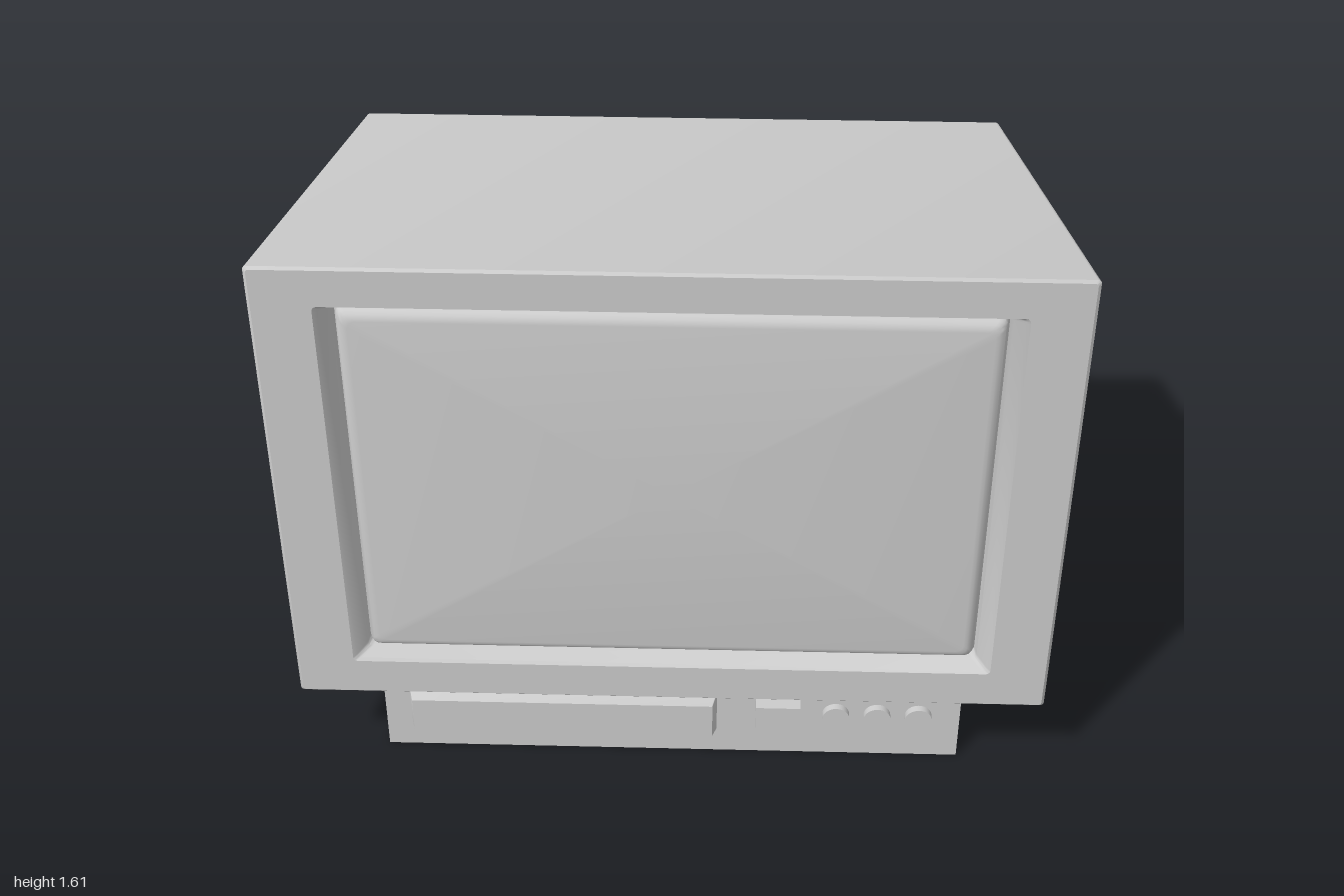
import * as THREE from 'three';
import { toCreasedNormals } from 'three/addons/utils/BufferGeometryUtils.js';

const material = new THREE.MeshStandardMaterial({ color: 0xcccccc });

// Rounded rectangle, counter-clockwise seen from +z
function ring([hw, y0, y1, z, r]) {
  const steps = 4, points = [];
  const corners = [[hw - r, y0 + r], [hw - r, y1 - r], [-hw + r, y1 - r], [-hw + r, y0 + r]];
  corners.forEach(([cx, cy], k) => {
    for (let s = 0; s <= steps; s++) {
      const a = (k - 1 + s / steps) * Math.PI / 2;
      points.push([cx + r * Math.cos(a), cy + r * Math.sin(a), z]);
    }
  });
  return points;
}

// Skin a series of rings [halfWidth, bottom, top, z, cornerRadius]
function loft(sections, capStart, capEnd) {
  const rings = sections.map(ring), n = rings[0].length, pos = [];
  const tri = (a, b, c) => pos.push(...a, ...b, ...c);
  const centre = ([, y0, y1, z]) => [0, (y0 + y1) / 2, z];
  const last = rings.length - 1;
  for (let j = 0; j < n; j++) {
    const k = (j + 1) % n;
    for (let i = 0; i < last; i++) {
      const a = rings[i], b = rings[i + 1];
      tri(a[j], a[k], b[k]);
      tri(a[j], b[k], b[j]);
    }
    if (capStart) tri(centre(sections[0]), rings[0][k], rings[0][j]);
    if (capEnd) tri(centre(sections[last]), rings[last][j], rings[last][k]);
  }
  const geometry = new THREE.BufferGeometry();
  geometry.setAttribute('position', new THREE.Float32BufferAttribute(pos, 3));
  return toCreasedNormals(geometry, 0.5);
}

export function createModel() {
  const model = new THREE.Group();
  const add = (name, geometry, x = 0, y = 0, z = 0) => {
    const mesh = new THREE.Mesh(geometry, material);
    mesh.name = name;
    mesh.position.set(x, y, z);
    model.add(mesh);
    return mesh;
  };
  const box = (name, x0, x1, y0, y1, z0, z1) => add(name,
    new THREE.BoxGeometry(x1 - x0, y1 - y0, z1 - z0),
    (x0 + x1) / 2, (y0 + y1) / 2, (z0 + z1) / 2);

  // Tapered casing with bevelled edges and a sunken screen surround
  add('casing', loft([
    [0.85, 0.37, 1.507, -0.39, 0.008],
    [0.857, 0.363, 1.513, -0.385, 0.01],
    [0.998, 0.268, 1.608, 0.562, 0.01],
    [0.99, 0.276, 1.602, 0.57, 0.008],
    [0.845, 0.382, 1.502, 0.57, 0.012],
    [0.835, 0.388, 1.497, 0.562, 0.012],
    [0.81, 0.402, 1.487, 0.53, 0.014],
    [0.805, 0.407, 1.483, 0.505, 0.016],
  ], true, false));

  // Screen with rolled edges
  const screen = [[0.805, 0.407, 1.483, 0.505, 0.016]];
  for (let i = 0; i <= 5; i++) {
    const a = i / 5 * Math.PI / 2, inset = 0.03 * (1 - Math.cos(a));
    screen.push([0.8 - inset, 0.412 + inset, 1.478 - inset, 0.515 + 0.035 * Math.sin(a), 0.02]);
  }
  add('screen', loft(screen, false, true));

  // Rear housing and pedestal
  box('rearHousing', -0.725, 0.725, 0.45, 1.27, -0.575, -0.388);
  box('pedestal', -0.79, 0.79, 0, 0.355, -0.305, 0.485);

  // Front flap with sloping edges
  add('frontFlap', loft([
    [0.422, 0.08, 0.215, 0.484, 0.002],
    [0.41, 0.092, 0.203, 0.528, 0.002],
  ], false, true), -0.298);

  // Square button and three round knobs
  box('squareButton', 0.23, 0.352, 0.092, 0.2, 0.48, 0.526);
  const knob = new THREE.CylinderGeometry(0.037, 0.037, 0.03, 32).rotateX(Math.PI / 2);
  for (let i = 0; i < 3; i++) add('knob', knob, 0.45 + i * 0.113, 0.146, 0.49);

  return model;
}
